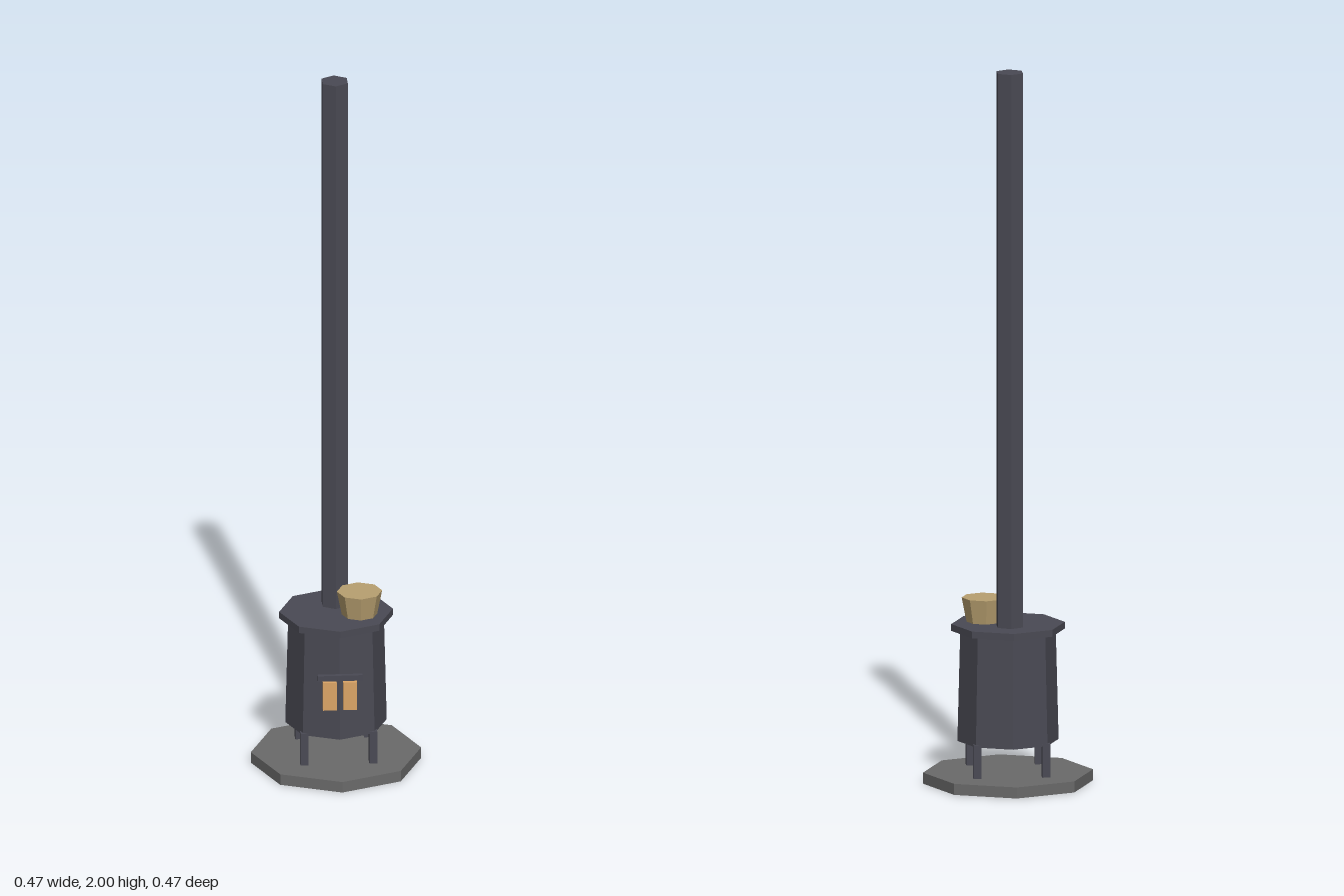
import * as THREE from 'three';

export function createModel() {
  const stove = new THREE.Group();
  stove.name = 'stove';

  const material = (name, color) => {
    const m = new THREE.MeshStandardMaterial({ color });
    m.name = name;
    m.flatShading = true;
    return m;
  };
  const iron = material('iron', 0x4a4a54);
  const stone = material('stone', 0x6a6a6a);
  const brass = material('brass', 0xb8a070);
  const glow = material('ember glow', 0xdca566);

  const add = (name, geometry, mat, x, y, z) => {
    const mesh = new THREE.Mesh(geometry, mat);
    mesh.name = name;
    mesh.position.set(x, y, z);
    stove.add(mesh);
  };
  // Faceted drum standing between two heights
  const drum = (name, mat, rTop, rBottom, y0, y1, sides = 8, x = 0, z = 0) =>
    add(name, new THREE.CylinderGeometry(rTop, rBottom, y1 - y0, sides), mat, x, (y0 + y1) / 2, z);
  const box = (name, mat, w, h, d, x, y, z) =>
    add(name, new THREE.BoxGeometry(w, h, d), mat, x, y, z);

  // Hearth, firebox, top plate and flue
  drum('hearthSlab', stone, 0.235, 0.235, 0, 0.031);
  drum('firebox', iron, 0.132, 0.14, 0.118, 0.43);
  drum('topPlate', iron, 0.157, 0.157, 0.427, 0.446);
  drum('fluePipe', iron, 0.04, 0.04, 0.44, 2, 6, 0, -0.048);

  // Pot on the top plate
  drum('pot', brass, 0.0625, 0.049, 0.446, 0.514, 8, 0.0625, 0.031);

  // Four square legs
  for (const x of [-0.095, 0.095])
    for (const z of [-0.095, 0.095])
      box('leg', iron, 0.022, 0.1, 0.022, x, 0.075, z);

  // Two glowing door panes below a small ledge
  for (const x of [-0.028, 0.028])
    box('doorPane', glow, 0.038, 0.082, 0.016, x, 0.25, 0.14);
  box('doorLedge', iron, 0.125, 0.016, 0.012, 0, 0.304, 0.143);

  return stove;
}
